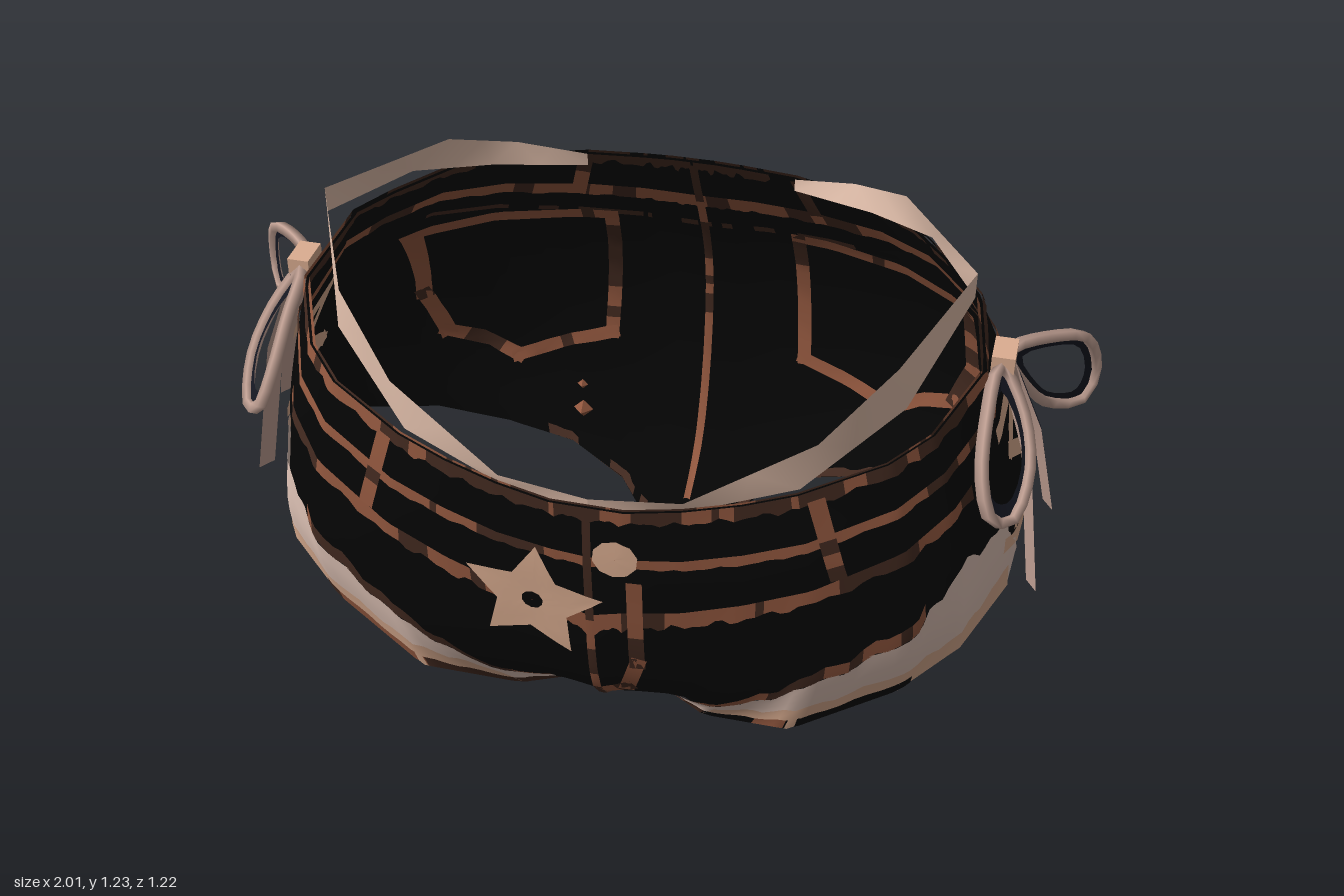
import * as THREE from 'three';

const V = (x, y, z) => new THREE.Vector3(x, y, z);
const mat = (name, color) => {
  const m = new THREE.MeshStandardMaterial({ color, side: THREE.DoubleSide });
  m.name = name;
  return m;
};
const M = {
  black: mat('black cloth', 0x050505),
  brown: mat('brown stitching', 0x93583f),
  dark: mat('dark brown stitching', 0x432a20),
  tan: mat('tan trim', 0xdcae91),
  blush: mat('blush strap', 0xe5c2ae),
  pale: mat('pale lining', 0xdfc3b6),
  ribbon: mat('dusty ribbon', 0xc4a396),
  navy: mat('navy ribbon lining', 0x141620),
};
const STITCH = [M.brown, M.brown, M.dark];
const FADED = [M.dark, M.dark, M.brown];

// Guide rings of the left half, front centre to back centre: waist, upper hip, lower hip, hem
const WAIST = [[0, .83, .6], [.08, .83, .6], [.2, .845, .585], [.32, .865, .56], [.43, .89, .53], [.6, .94, .45],
  [.68, .97, .37], [.755, 1.02, .2], [.76, 1.02, .19], [.72, 1.07, -.02], [.72, 1.07, -.025], [.65, 1.09, -.1],
  [.54, 1.11, -.21], [.42, 1.11, -.29], [.25, 1.11, -.35], [.12, 1.11, -.365], [.05, 1.11, -.37], [0, 1.11, -.37]];
const UPPER = [[0, .6, .595], [.08, .6, .592], [.2, .6, .583], [.33, .62, .567], [.47, .65, .54], [.65, .72, .47],
  [.74, .77, .38], [.81, .8, .2], [.815, .8, .19], [.82, .82, -.04], [.82, .82, -.045], [.77, .82, -.18],
  [.69, .79, -.33], [.55, .74, -.47], [.36, .69, -.56], [.18, .67, -.595], [.08, .66, -.595], [0, .66, -.59]];
const LOWER = [[0, .24, .53], [.08, .25, .525], [.17, .26, .52], [.3, .29, .53], [.47, .37, .53], [.68, .46, .46],
  [.78, .53, .38], [.85, .58, .18], [.855, .62, .17], [.87, .62, -.03], [.87, .6, -.04], [.84, .57, -.21],
  [.74, .49, -.38], [.58, .4, -.49], [.38, .32, -.535], [.19, .24, -.525], [.09, .21, -.51], [0, .2, -.5]];
const HEM = [[0, 0, .16], [.06, 0, .16], [.11, .06, .31], [.22, .11, .42], [.43, .19, .5], [.66, .29, .42],
  [.78, .39, .36], [.86, .41, .15], [.87, .515, .14], [.875, .51, -.025], [.875, .41, -.03], [.82, .36, -.2],
  [.68, .28, -.35], [.5, .22, -.41], [.33, .18, -.415], [.18, .125, -.36], [.1, .075, -.28], [0, .04, -.26]];
const N = WAIST.length - 1;
const meridians = WAIST.map((p, i) =>
  new THREE.CatmullRomCurve3([p, UPPER[i], LOWER[i], HEM[i]].map(q => V(...q))));

// Point on the cloth: s counts guide stations (negative = right side), v runs waist to hem
function cloth(s, v) {
  const a = Math.min(Math.abs(s), N), i = Math.min(Math.floor(a), N - 1);
  const p = meridians[i].getPoint(v).lerp(meridians[i + 1].getPoint(v), a - i);
  if (s < 0) p.x *= -1;
  return p;
}
function clothOff(s, v, off) {
  const e = .02, v0 = Math.max(v - e, 0), v1 = Math.min(v + e, 1);
  const du = cloth(s + e, v).sub(cloth(s - e, v)), dv = cloth(s, v1).sub(cloth(s, v0));
  return cloth(s, v).addScaledVector(dv.cross(du).normalize(), off);
}
// Sheet from f(u, v); several materials alternate in irregular runs along u
let seed = 7;
const rand = () => (seed = (seed * 16807) % 2147483647) / 2147483647;
function sheet(name, f, nu, nv, mats) {
  const pos = [], ok = [], idx = [], g = new THREE.BufferGeometry(), many = Array.isArray(mats);
  for (let i = 0; i <= nu; i++) for (let j = 0; j <= nv; j++) {
    const p = f(i / nu, j / nv);
    ok.push(!!p);
    pos.push(...(p || V(0, .5, 0)).toArray());
  }
  for (let i = 0, pick = 0; i < nu; i++) {
    const start = idx.length;
    for (let j = 0; j < nv; j++) {
      const a = i * (nv + 1) + j, b = a + nv + 1;
      if (ok[a] && ok[b] && ok[a + 1] && ok[b + 1]) idx.push(a, a + 1, b, b, a + 1, b + 1);
    }
    if (many && rand() < .4) pick = Math.floor(rand() * mats.length);
    if (many) g.addGroup(start, idx.length - start, pick);
  }
  g.setAttribute('position', new THREE.Float32BufferAttribute(pos, 3));
  g.setIndex(idx);
  g.computeVertexNormals();
  const m = new THREE.Mesh(g, mats);
  m.name = name;
  return m;
}
// Point at fraction t of a polyline
function along(pts, t) {
  const k = t * (pts.length - 1), i = Math.min(Math.floor(k), pts.length - 2);
  return pts[i].map((c, n) => c + (pts[i + 1][n] - c) * (k - i));
}

export function createModel() {
  const model = new THREE.Group();
  const shell = sheet('shortsBody', (u, v) => cloth((2 * u - 1) * N, v), 2 * N, 14, M.black);
  model.add(shell);
  // Crotch strip, sagging along its middle: half width, edge y, middle y, z
  const gusset = [[.06, 0, 0, .16], [.06, .015, .003, .04], [.07, .03, .01, -.1], [.1, .075, .04, -.27]];
  const strip = (name, width, lift, mats) => model.add(sheet(name, (u, v) => {
    const [w, edge, mid, z] = along(gusset, u), k = (1 - 2 * v) * width;
    return V(w * k, mid + (edge - mid) * Math.abs(k) + lift, z);
  }, 12, 4, mats));
  strip('gusset', 1, 0, M.black);
  for (const lift of [.005, -.005]) strip('gussetSeam', .17, lift, STITCH);

  // Bands that follow the cloth, laid on the outside and the inside
  const band = (name, s0, s1, vTop, vEnd, mats, lift = .006, nv = 2) => {
    for (const off of [lift, -lift]) model.add(sheet(name, (u, v) => {
      const s = s0 + (s1 - s0) * u, a = vTop(Math.abs(s)), b = vEnd(Math.abs(s));
      return clothOff(s, a + (b - a) * v, off);
    }, Math.ceil(Math.abs(s1 - s0) * 8), nv, mats));
  };
  const ragged = s => .006 * Math.sin(s * 9) + .005 * Math.sin(s * 16);
  const waistV = s => .2 - .1 * Math.min(s / 12, 1);
  band('waistStitch', -N, N, waistV, s => waistV(s) + .036 + .4 * ragged(s), [M.brown, M.brown, M.brown, M.dark]);
  for (const k of [1, -1]) {
    const pocketV = s => .41 - .018 * s;
    band('frontWaistEdge', 0, 9 * k, () => 0, s => .045 + ragged(s), [M.dark, M.brown, M.dark]);
    band('backWaistEdge', 9 * k, N * k, () => 0, s => .022 + ragged(s), [M.dark, M.dark, M.black]);
    band('frontPocketStitch', 0, 6.4 * k, pocketV, s => pocketV(s) + .045 + ragged(s), STITCH);
    band('yokeStitch', 11 * k, N * k, s => waistV(s) + .085, s => waistV(s) + .1, [M.dark, M.black]);
    // Pale worn patch along the front of each leg, with tan and frayed brown borders
    const edge = [[.99], [.8], [.7], [.64], [.51], [.6], [.85]];
    const wornV = s => Math.min(along(edge, Math.max(s - 2, 0) / 6)[0] + 2 * ragged(s), 1);
    band('wornPatch', 2 * k, 8 * k, wornV, () => 1, M.pale, .006, 6);
    band('wornPatchBorder', 3 * k, 7 * k, s => Math.max(.86 + 2 * ragged(s), wornV(s)), () => 1, M.tan, .008);
    band('wornPatchEdge', 1.8 * k, 5.3 * k, s => wornV(s) - .055, wornV, STITCH);
    band('legHemStitch', 2 * k, 5.2 * k, s => .94 + ragged(s), () => 1, [M.brown, M.dark, M.black, M.black], .0095);
    band('backLegHem', 13 * k, 16 * k, s => .96 + ragged(s), () => 1, [M.dark, M.black]);
  }

  // Details projected on the cloth from one direction: front (x,y), back (x,y), sides (z,y)
  const ray = new THREE.Raycaster();
  function project(dir, a, b, off) {
    const side = dir === 'left' ? 1 : dir === 'right' ? -1 : 0, f = dir === 'front' ? 1 : -1;
    if (side) ray.set(V(5 * side, b, a), V(-side, 0, 0));
    else ray.set(V(a, b, 5 * f), V(0, 0, -f));
    const hit = ray.intersectObject(shell)[0];
    return hit && hit.point.clone().addScaledVector(hit.face.normal, off);
  }
  function plate(name, dir, A, B, mats, nu, nv = 2, lift = .008) {
    for (const off of [lift, -lift]) model.add(sheet(name, (u, v) => {
      const p = along(A, u), q = along(B, u);
      return project(dir, p[0] + (q[0] - p[0]) * v, p[1] + (q[1] - p[1]) * v, off);
    }, nu, nv, mats));
  }
  function line(name, dir, pts, w, mats) {
    for (let i = 0; i < pts.length - 1; i++) {
      const [a, b] = [pts[i], pts[i + 1]], dx = b[0] - a[0], dy = b[1] - a[1], l = Math.hypot(dx, dy);
      const ex = dx / l * w / 2, ey = dy / l * w / 2;
      const edge = k => [[a[0] - ex - ey * k, a[1] - ey + ex * k], [b[0] + ex - ey * k, b[1] + ey + ex * k]];
      plate(name, dir, edge(1), edge(-1), mats, Math.ceil(l / .03));
    }
  }
  const ring = (cx, cy, r, n) => Array.from({ length: n + 1 }, (_, i) => {
    const t = Math.PI * 2 * i / n + Math.PI / 2 - .1;
    return [cx + Math.cos(t) * r(i), cy + Math.sin(t) * r(i)];
  });
  line('flySeam', 'front', [[0, .8], [0, .03]], .018, FADED);
  line('flyStitch', 'front', [[.1, .62], [.1, .38], [.07, .28], [.02, .25]], .035, STITCH);
  const starHole = ring(-.13, .535, () => .025, 10);
  plate('star', 'front', ring(-.13, .535, i => i % 2 ? .085 : .165, 10), starHole, M.tan, 30, 4, .0095);
  plate('starCentre', 'front', starHole, ring(-.13, .535, () => .001, 10), M.black, 20, 2, .0095);
  plate('button', 'front', ring(.06, .7, () => .05, 10), ring(.06, .7, () => .001, 10), M.tan, 20);
  line('backSeam', 'back', [[0, 1.09], [0, .1]], .02, FADED);
  for (const k of [1, -1]) {
    const flip = pts => pts.map(([x, y]) => [x * k, y]);
    line('frontBeltLoop', 'front', flip([[.47, .86], [.52, .69]]), .035, STITCH);
    line('backBeltLoop', 'back', flip([[.26, 1.09], [.3, .96]]), .035, FADED);
    line('backPocket', 'back', flip([[.24, .85], [.69, .86], [.71, .62], [.67, .48], [.5, .375], [.26, .44], [.24, .85]]), .036, STITCH);
    const dir = k > 0 ? 'left' : 'right';
    line('sideLacing', dir, [[.18, .86], [-.01, .87], [.12, .77], [-.04, .68], [.14, .6], [-.05, .54]], .038, M.tan);
    line('lacingHem', dir, [[.18, .56], [-.06, .53]], .04, M.tan);
  }

  // Loose waist strap rising above the cloth at the sides
  const low = [[0, .78, .585], [.2, .82, .56], [.43, .88, .5], [.62, 1.02, .36], [.72, 1.16, .13], [.6, 1.15, -.1], [.45, 1.12, -.22], [.25, 1.08, -.34]];
  const high = [[0, .84, .59], [.2, .855, .575], [.46, .99, .485], [.6, 1.13, .38], [.72, 1.22, .13], [.53, 1.21, -.16], [.4, 1.16, -.27], [.25, 1.11, -.34]];
  // Side bows: loops and tails drawn as x, y, z
  const loops = [
    [[.79, 1.01, .15], [.78, .96, .28], [.79, .87, .37], [.82, .79, .395], [.86, .77, .36], [.88, .84, .27], [.85, .93, .19]],
    [[.8, 1.01, .09], [.89, .99, -.02], [.96, .95, -.09], [.99, .83, -.13], [.97, .78, -.1], [.9, .8, -.04], [.85, .88, .03]],
  ];
  const tails = [[[.8, 1, .145], [.87, .8, .17], [.92, .46, .2]], [[.8, 1, .075], [.88, .8, .05], [.93, .55, .015]]];
  for (const k of [1, -1]) {
    const side = new THREE.Group();
    side.name = k > 0 ? 'leftStrapAndBow' : 'rightStrapAndBow';
    const at = p => V(p[0] * k, p[1], p[2]);
    side.add(sheet('waistStrap', (u, v) => at(along(low, u)).lerp(at(along(high, u)), v), 14, 1, M.blush));
    for (const loop of loops) {
      const path = new THREE.CatmullRomCurve3(loop.map(at), true), mid = V(0, 0, 0);
      loop.forEach(p => mid.addScaledVector(at(p), 1 / loop.length));
      const bow = new THREE.Mesh(new THREE.TubeGeometry(path, 20, .015, 4, true), M.ribbon);
      bow.name = 'bowLoop';
      side.add(bow, sheet('bowLoopLining', (u, v) => path.getPoint(u).lerp(mid, .08 + .2 * v), 20, 1, M.navy));
    }
    for (const tail of tails) for (const [name, w, out, m] of [['bowTail', .036, 0, M.ribbon], ['bowTailLining', .014, .006, M.navy]])
      side.add(sheet(name, (u, v) =>
        at(along(tail, u)).add(V(((v - .5) * w * .7 + out) * k, 0, (v - .5) * w)), 4, 1, m));
    const knot = new THREE.Mesh(new THREE.BoxGeometry(.05, .04, .08), M.tan);
    knot.name = 'bowKnot';
    knot.position.set(.795 * k, 1.015, .115);
    side.add(knot);
    model.add(side);
  }
  // Two small floating studs above the front
  for (const [y, r] of [[1.085, .02], [1.145, .011]]) {
    const stud = new THREE.Mesh(new THREE.OctahedronGeometry(r), M.brown);
    stud.name = 'stud';
    stud.position.set(0, y, .6);
    model.add(stud);
  }
  return model;
}
